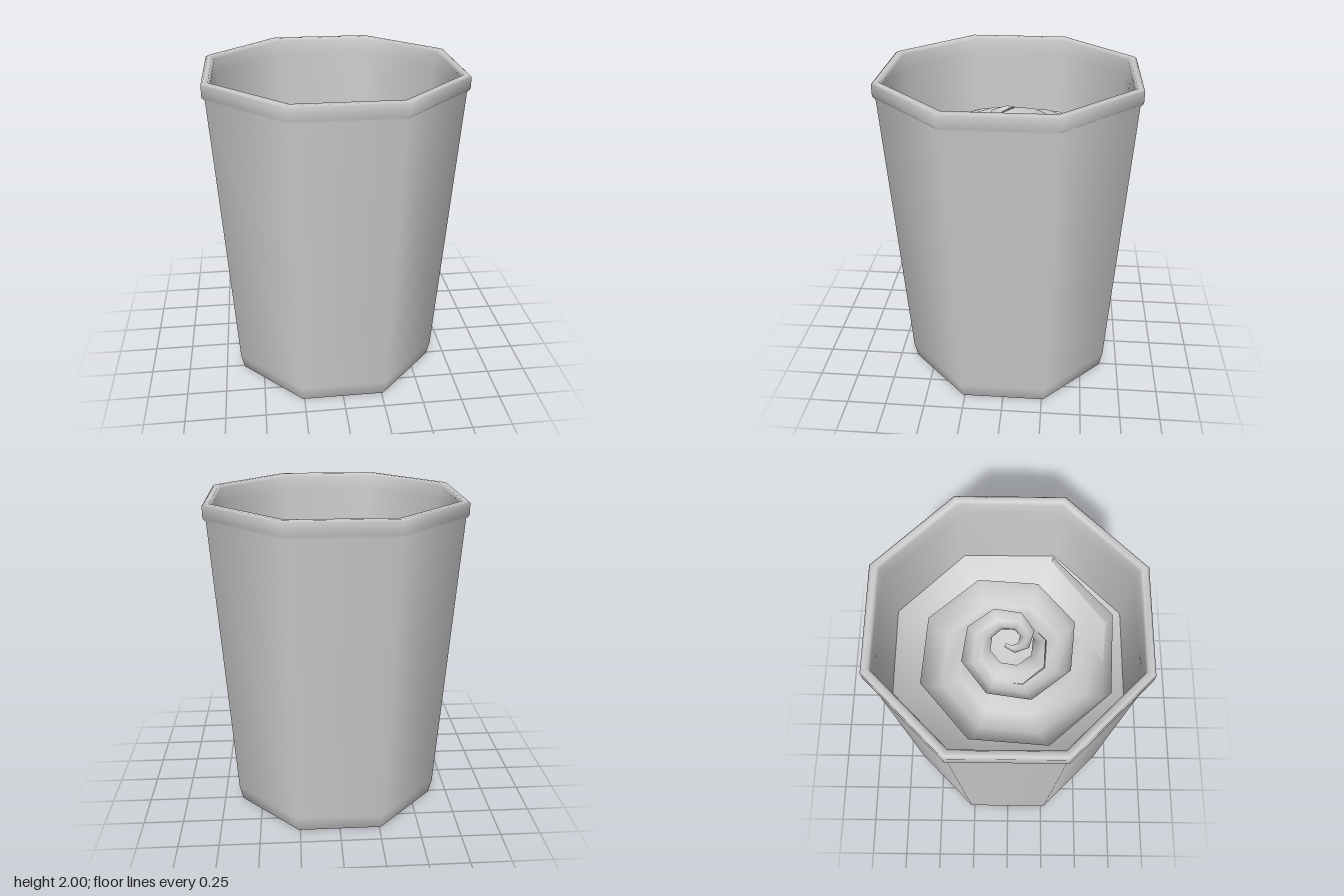
import * as THREE from 'three';

const SIDES = 8;
const grey = new THREE.MeshStandardMaterial({ color: 0xcccccc });
const greyOpen = new THREE.MeshStandardMaterial({ color: 0xcccccc, side: THREE.DoubleSide });

// Octagonal turned part; the profile gives [distance to flat side, height]
function turned(name, profile) {
  const k = 1 / Math.cos(Math.PI / SIDES);
  const points = profile.map(([r, y]) => new THREE.Vector2(r * k, y));
  const mesh = new THREE.Mesh(new THREE.LatheGeometry(points, SIDES, Math.PI / SIDES), grey);
  mesh.name = name;
  return mesh;
}

// Tapered trough coiling inwards and upwards to a small tip
function swirl() {
  const turns = 2.5, steps = turns * SIDES, across = 5;
  const positions = [], index = [];
  for (let i = 0; i <= steps; i++) {
    const t = i / steps;
    const angle = Math.PI / SIDES + t * turns * Math.PI * 2;
    const half = 0.22 * (1 - t) + 0.012;
    const radius = 0.48 * (1 - t) + 0.05 * t;
    const height = 1.5 + 0.25 * t;
    for (let j = 0; j <= across; j++) {
      const a = Math.PI * (1 + j / across);
      const r = radius + half * Math.cos(a);
      positions.push(r * Math.cos(angle), height + half * Math.sin(a), r * Math.sin(angle));
      if (i < steps && j < across) {
        const p = i * (across + 1) + j, q = p + across + 1;
        index.push(p, q, p + 1, q, q + 1, p + 1);
      }
    }
  }
  const geometry = new THREE.BufferGeometry();
  geometry.setAttribute('position', new THREE.Float32BufferAttribute(positions, 3));
  geometry.setIndex(index);
  geometry.computeVertexNormals();
  const mesh = new THREE.Mesh(geometry, greyOpen);
  mesh.name = 'swirlFilling';
  return mesh;
}

export function createModel() {
  const group = new THREE.Group();
  group.name = 'cup';
  group.add(
    // base, tapered wall, rolled lip and inner wall in one smooth skin
    turned('cupWall', [[0, 0], [0.61, 0], [0.63, 0], [0.65, 0.1], [0.745, 1.9], [0.762, 1.92],
      [0.762, 1.99], [0.75, 2], [0.722, 2], [0.71, 1.98], [0.7, 1.9], [0.672, 1.46]]),
    // bed of filling below the swirl
    turned('fillingBed', [[0.675, 1.49], [0.52, 1.34], [0.3, 1.22], [0, 1.2]]),
    swirl()
  );
  return group;
}
